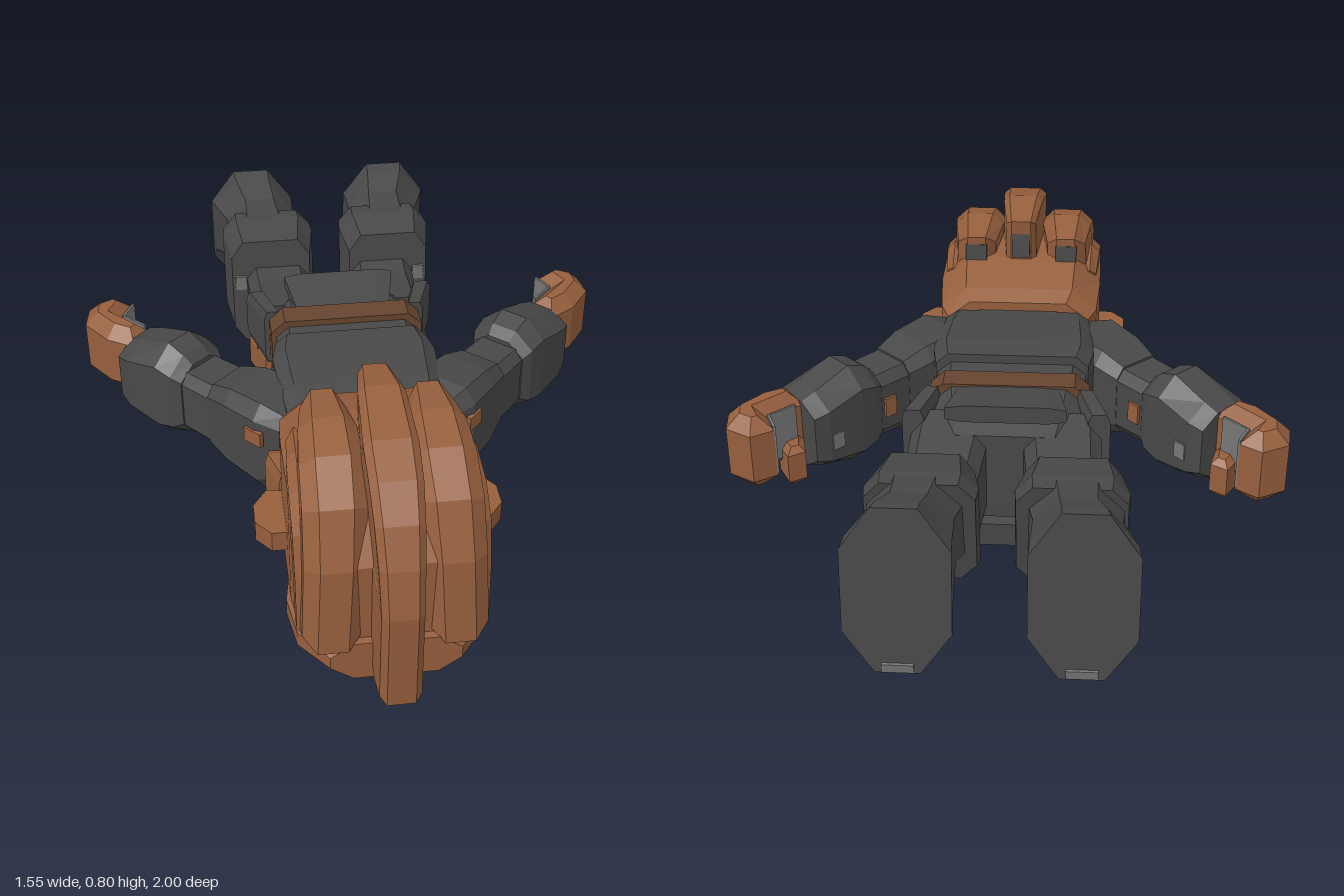
import * as THREE from 'three';

const material = (name, color) => {
  const m = new THREE.MeshStandardMaterial({ color });
  m.name = name;
  return m;
};

// Flat-faced octagonal loft along z. Station: [z, xc, yc, halfW, halfH, lean]
function loft(stations, chamferY = 0.3, chamferX = chamferY) {
  const a = 1 - chamferX, b = 1 - chamferY;
  const ring = [[1, -b], [1, b], [a, 1], [-a, 1], [-1, b], [-1, -b], [-a, -1], [a, -1]];
  const pos = [], idx = [], n = 8;
  for (const [z, x, y, w, h, lean = 0] of stations)
    for (const [u, v] of ring) pos.push(x + u * w, y + v * h, z + v * lean);
  const last = (stations.length - 1) * n;
  for (let i = 0; i < last; i += n)
    for (let j = 0; j < n; j++) {
      const k = (j + 1) % n;
      idx.push(i + j, i + k, i + n + k, i + j, i + n + k, i + n + j);
    }
  for (let j = 1; j < n - 1; j++) {
    idx.push(0, j + 1, j);
    idx.push(last, last + j, last + j + 1);
  }
  const g = new THREE.BufferGeometry();
  g.setAttribute('position', new THREE.Float32BufferAttribute(pos, 3));
  g.setIndex(idx);
  return flat(g);
}

function flat(g) {
  const f = g.index ? g.toNonIndexed() : g;
  f.computeVertexNormals();
  return f;
}

function extrude(points, depth, bevel) {
  const shape = new THREE.Shape(points.map(p => new THREE.Vector2(p[0], p[1])));
  const g = new THREE.ExtrudeGeometry(shape, {
    depth: depth - 2 * bevel, bevelEnabled: bevel > 0, bevelThickness: bevel,
    bevelSize: bevel, bevelOffset: -bevel, bevelSegments: 1, steps: 1,
  });
  return g.translate(0, 0, -(depth - 2 * bevel) / 2);
}

// Crest from a (z, y) profile: widest in the middle of its length, splayed outward lower down
function crest(pts, width, bevel, x = 0, splay = 0) {
  const g = extrude(pts, width, bevel).rotateY(-Math.PI / 2);
  const p = g.getAttribute('position');
  for (let i = 0; i < p.count; i++) {
    const scale = 1.1 - 4.5 * (p.getZ(i) - 0.75) ** 2;
    p.setX(i, p.getX(i) * scale + x + splay * (0.72 - p.getY(i)));
  }
  return flat(g);
}

// Profile in (x, z), thickness across y
const topProfile = (pts, height, bevel, y) =>
  flat(extrude(pts.map(p => [p[0], -p[1]]), height, bevel).rotateX(-Math.PI / 2).translate(0, y, 0));

function mirrored(g) {
  const p = g.getAttribute('position'), out = [];
  for (let i = 0; i < p.count; i += 3)
    for (const k of [i, i + 2, i + 1]) out.push(-p.getX(k), p.getY(k), p.getZ(k));
  const m = new THREE.BufferGeometry();
  m.setAttribute('position', new THREE.Float32BufferAttribute(out, 3));
  return flat(m);
}

const box = (w, h, d, x, y, z, rx = 0) =>
  flat(new THREE.BoxGeometry(w, h, d).rotateX(rx).translate(x, y, z));

export function createModel() {
  const root = new THREE.Group();
  root.name = 'lyingArmouredFigure';
  const brown = material('bronzeBrown', 0x965f3d);
  const grey = material('darkGrey', 0x484848);
  const belt = material('beltBrown', 0x66452f);
  const light = material('lightGrey', 0x777777);

  const add = (name, g, m) => {
    const mesh = new THREE.Mesh(g, m);
    mesh.name = name;
    root.add(mesh);
  };
  const pair = (name, g, m) => {
    add(name + 'Left', g, m);
    add(name + 'Right', mirrored(g), m);
  };

  // Torso
  add('chest', loft([[-0.045, 0, 0.365, 0.22, 0.195], [0.04, 0, 0.365, 0.235, 0.2],
    [0.2, 0, 0.39, 0.225, 0.165], [0.285, 0, 0.4, 0.215, 0.14]], 0.16), grey);
  add('abdomen', loft([[-0.14, 0, 0.35, 0.21, 0.18], [-0.03, 0, 0.355, 0.215, 0.18]], 0.18), grey);
  add('belt', loft([[-0.205, 0, 0.35, 0.225, 0.2], [-0.125, 0, 0.35, 0.225, 0.2]], 0.18), belt);
  add('buckle', box(0.24, 0.012, 0.05, 0, 0.149, -0.165), grey);
  add('pelvis', loft([[-0.38, 0, 0.36, 0.18, 0.13], [-0.3, 0, 0.36, 0.2, 0.16],
    [-0.19, 0, 0.36, 0.215, 0.185]], 0.25), grey);
  add('neck', loft([[0.24, 0, 0.4, 0.17, 0.14], [0.34, 0, 0.4, 0.17, 0.15]]), grey);
  add('backPlate', loft([[-0.36, 0, 0.545, 0.165, 0.025], [-0.2, 0, 0.525, 0.14, 0.02]]), grey);
  add('frontPlate', loft([[-0.38, 0, 0.168, 0.11, 0.035], [-0.21, 0, 0.195, 0.1, 0.03]]), grey);
  pair('hipFlap', loft([[-0.33, 0.255, 0.455, 0.03, 0.08], [-0.2, 0.215, 0.45, 0.025, 0.09]]), grey);
  pair('hipPouch', loft([[-0.345, 0.245, 0.315, 0.035, 0.06], [-0.215, 0.215, 0.315, 0.025, 0.06]]), brown);
  pair('chestClasp', loft([[-0.02, 0.175, 0.15, 0.03, 0.03], [0.06, 0.175, 0.165, 0.035, 0.04]]), light);

  // Legs and boots
  pair('thigh', loft([[-0.62, 0.17, 0.35, 0.1, 0.12], [-0.5, 0.165, 0.335, 0.1, 0.13],
    [-0.28, 0.15, 0.38, 0.11, 0.13]]), grey);
  pair('bootCuff', loft([[-0.74, 0.19, 0.42, 0.14, 0.155, -0.02], [-0.69, 0.19, 0.41, 0.145, 0.17, -0.02],
    [-0.575, 0.19, 0.385, 0.125, 0.175, -0.015]]), grey);
  pair('kneeStud', box(0.035, 0.05, 0.008, 0.288, 0.42, -0.577, 0.086), light);
  pair('boot', loft([[-0.975, 0.225, 0.405, 0.135, 0.225, 0.025], [-0.93, 0.222, 0.435, 0.13, 0.185, 0.02],
    [-0.82, 0.205, 0.455, 0.11, 0.135], [-0.7, 0.2, 0.42, 0.125, 0.155]], 0.5, 0.58), grey);
  pair('toePlate', box(0.08, 0.025, 0.008, 0.225, 0.195, -0.999, -0.11), light);

  // Arms, lofted outward from the shoulder
  const arm = g => flat(g.rotateY(2.39).translate(0.23, 0.39, 0.2));
  pair('shoulder', arm(loft([[-0.07, 0, 0, 0.08, 0.12], [0.0, 0, 0, 0.11, 0.145],
    [0.12, 0, 0, 0.1, 0.135], [0.2, 0, 0, 0.085, 0.11]])), grey);
  pair('upperArm', arm(loft([[0.15, 0, 0, 0.085, 0.105], [0.36, 0, 0, 0.08, 0.1]])), grey);
  pair('gauntlet', arm(loft([[0.305, 0, 0.005, 0.085, 0.11], [0.335, 0, 0.005, 0.1, 0.135],
    [0.39, 0, 0.005, 0.105, 0.155], [0.51, 0, 0, 0.107, 0.122], [0.555, 0, 0, 0.095, 0.105]], 0.35, 0.6)), grey);
  pair('shoulderBadge', arm(box(0.014, 0.045, 0.06, -0.109, 0.05, 0.0)), brown);
  pair('elbowBadge', arm(box(0.014, 0.06, 0.04, 0.083, 0.0, 0.275)), brown);
  pair('wristStud', arm(box(0.01, 0.05, 0.04, 0.106, -0.02, 0.485)), light);

  // Hands with curled fingers
  pair('hand', topProfile([[0.575, -0.22], [0.63, -0.15], [0.71, -0.2], [0.775, -0.29], [0.765, -0.37],
    [0.69, -0.412], [0.63, -0.37], [0.66, -0.31]], 0.22, 0.038, 0.41), brown);
  pair('thumb', topProfile([[0.565, -0.3], [0.61, -0.33], [0.65, -0.26], [0.59, -0.2]], 0.12, 0.018, 0.33), brown);
  pair('palm', topProfile([[0.634, -0.372], [0.663, -0.31], [0.6, -0.245], [0.594, -0.25],
    [0.655, -0.31], [0.627, -0.37]], 0.15, 0, 0.42), light);

  // Helmet shell
  add('helmet', loft([[0.28, 0, 0.405, 0.215, 0.165], [0.33, 0, 0.395, 0.24, 0.2],
    [0.46, 0, 0.39, 0.25, 0.25], [0.68, 0, 0.385, 0.25, 0.265],
    [0.8, 0, 0.36, 0.235, 0.23], [0.88, 0, 0.3, 0.18, 0.17]], 0.32), brown);
  add('browRim', loft([[0.56, 0, 0.2, 0.24, 0.1], [0.68, 0, 0.175, 0.262, 0.085],
    [0.8, 0, 0.175, 0.245, 0.075], [0.9, 0, 0.175, 0.17, 0.06]], 0.7, 0.35), brown);
  pair('neckFlare', loft([[0.29, 0.25, 0.31, 0.025, 0.09], [0.33, 0.255, 0.31, 0.03, 0.11],
    [0.44, 0.23, 0.31, 0.025, 0.12]]), brown);
  pair('ear', topProfile([[0.23, 0.45], [0.29, 0.44], [0.33, 0.5], [0.33, 0.57],
    [0.29, 0.62], [0.23, 0.62]], 0.06, 0, 0.352), brown);

  // Crests
  add('centreCrest', crest([[0.46, 0.6], [0.44, 0.77], [0.58, 0.8], [0.75, 0.76], [0.85, 0.71],
    [0.92, 0.63], [0.97, 0.53], [1.0, 0.4], [0.99, 0.1], [0.91, 0.11], [0.85, 0.2],
    [0.8, 0.5], [0.68, 0.6]], 0.125, 0.018), brown);
  pair('sideCrest', crest([[0.46, 0.58], [0.45, 0.71], [0.6, 0.73], [0.72, 0.7], [0.83, 0.62],
    [0.89, 0.47], [0.91, 0.22], [0.82, 0.22], [0.76, 0.48], [0.65, 0.56]], 0.15, 0.035, 0.138, 0.05), brown);
  pair('outerRidge', crest([[0.46, 0.5], [0.46, 0.6], [0.6, 0.63], [0.72, 0.6], [0.81, 0.53],
    [0.85, 0.4], [0.86, 0.22], [0.78, 0.22], [0.74, 0.42], [0.64, 0.5]], 0.085, 0.025, 0.203), brown);
  add('centreCrestEnd', box(0.055, 0.1, 0.008, 0, 0.7, 0.446, 0.12), grey);
  pair('sideCrestEnd', box(0.065, 0.07, 0.008, 0.14, 0.65, 0.452, 0.08), grey);

  // Face: cheeks, nose, moustache and beard
  add('face', loft([[0.34, 0, 0.17, 0.2, 0.09], [0.48, 0, 0.16, 0.21, 0.09],
    [0.64, 0, 0.17, 0.19, 0.08]], 0.4), brown);
  add('nose', loft([[0.44, 0, 0.06, 0.06, 0.04], [0.51, 0, 0.05, 0.06, 0.04],
    [0.58, 0, 0.05, 0.05, 0.04], [0.65, 0, 0.085, 0.03, 0.03]]), brown);
  pair('eye', box(0.07, 0.009, 0.035, 0.105, 0.078, 0.555), grey);
  pair('moustache', loft([[0.3, 0.14, 0.11, 0.04, 0.04], [0.38, 0.11, 0.09, 0.075, 0.04],
    [0.46, 0.07, 0.09, 0.06, 0.035]]), brown);
  add('beard', loft([[0.09, 0, 0.135, 0.06, 0.02], [0.19, 0, 0.12, 0.12, 0.055],
    [0.33, 0, 0.135, 0.19, 0.08], [0.42, 0, 0.16, 0.21, 0.07]], 0.35), brown);
  add('mouthStub', flat(new THREE.ConeGeometry(0.04, 0.11, 5).rotateX(Math.PI).translate(0.14, 0.055, 0.54)), brown);
  return root;
}
